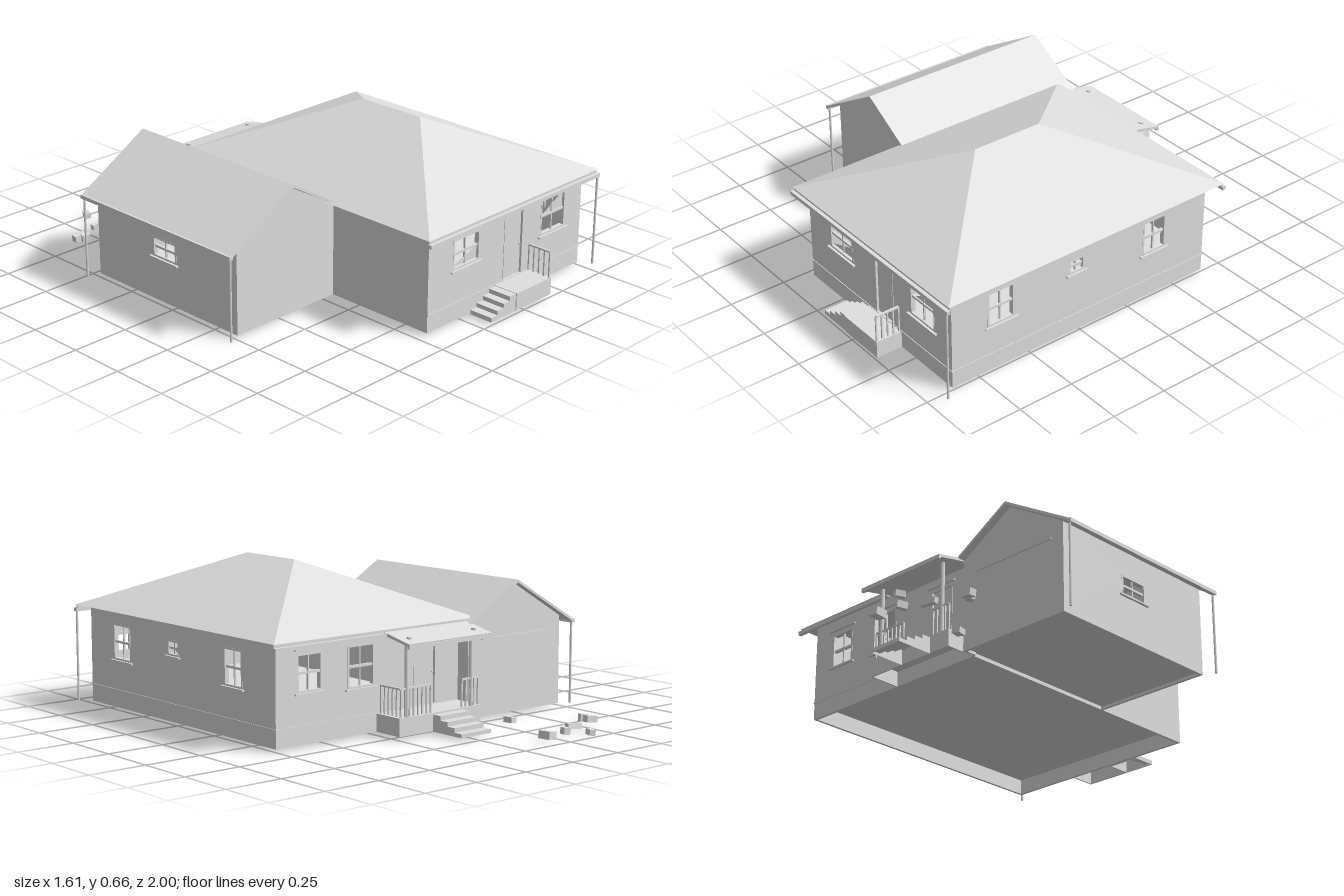
import * as THREE from 'three';

const gray = new THREE.MeshStandardMaterial({ color: 0xe0e0e0 });
gray.name = 'plain gray';
const sheet = new THREE.MeshStandardMaterial({ color: 0xe0e0e0, side: THREE.DoubleSide });
sheet.name = 'plain gray sheet';
const WALL = 0.012;

function add(parent, name, geo, mat = gray) {
  const m = new THREE.Mesh(geo, mat);
  m.name = name;
  parent.add(m);
  return m;
}

// Box given by its limits on each axis
function box(parent, name, x0, x1, y0, y1, z0, z1) {
  const m = add(parent, name, new THREE.BoxGeometry(x1 - x0, y1 - y0, z1 - z0));
  m.position.set((x0 + x1) / 2, (y0 + y1) / 2, (z0 + z1) / 2);
  return m;
}

function post(parent, name, x, z, y0, y1, r) {
  const m = add(parent, name, new THREE.CylinderGeometry(r, r, y1 - y0, 8));
  m.position.set(x, (y0 + y1) / 2, z);
}

const toShape = pts => new THREE.Shape(pts.map(p => new THREE.Vector2(...p)));
const rect = (u0, u1, y0, y1) => [[u0, y0], [u1, y0], [u1, y1], [u0, y1]];

// Thin wall whose outside faces local +z, with an opening for each [u0, u1, y0, y1]
function wall(parent, name, turn, x, z, outline, openings = []) {
  const g = new THREE.Group();
  g.name = name;
  g.rotation.y = turn;
  g.position.set(x, 0, z);
  const shape = toShape(outline);
  for (const o of openings) shape.holes.push(toShape(rect(...o).reverse()));
  const m = add(g, name + 'Panel', new THREE.ExtrudeGeometry(shape, { depth: WALL, bevelEnabled: false }));
  m.position.z = -WALL;
  parent.add(g);
  return g;
}

// Frame, cross bars, sill and lintel around an opening
function windowTrim(g, [a, b, c, d], lintel = true) {
  const t = 0.008, mx = (a + b) / 2, my = (c + d) / 2;
  for (const u of [a, b - t]) box(g, 'windowJamb', u, u + t, c, d, -0.02, 0.001);
  for (const y of [c, d - t]) box(g, 'windowRail', a, b, y, y + t, -0.02, 0.001);
  box(g, 'windowMullion', mx - 0.003, mx + 0.003, c, d, -0.014, -0.006);
  box(g, 'windowCrossBar', a, b, my - 0.005, my + 0.005, -0.016, -0.004);
  box(g, 'windowSill', a - 0.013, b + 0.013, c - 0.007, c, -0.01, 0.011);
  if (lintel) box(g, 'windowLintel', a - 0.015, b + 0.015, d + 0.012, d + 0.018, -0.002, 0.01);
}

// Broken pane left in a window
function shard(g, pts) {
  add(g, 'brokenPane', new THREE.ShapeGeometry(toShape(pts)), sheet).position.z = -0.01;
}

function doorTrim(g, [a, b, c, d]) {
  box(g, 'doorPanel', a + 0.006, b - 0.006, c, d - 0.006, -0.016, -0.008);
  for (const u of [a, b - 0.006]) box(g, 'doorJamb', u, u + 0.006, c, d, -0.02, 0.002);
  box(g, 'doorHead', a, b, d - 0.006, d, -0.02, 0.002);
  box(g, 'doorLintel', a - 0.015, b + 0.015, d + 0.012, d + 0.018, -0.002, 0.01);
  const knob = add(g, 'doorKnob', new THREE.SphereGeometry(0.005, 8, 6));
  knob.position.set(b - 0.014, c + 0.13, -0.004);
}

// Railing between two floor points
function railing(parent, x0, z0, x1, z1) {
  const g = new THREE.Group();
  g.name = 'railing';
  const len = Math.hypot(x1 - x0, z1 - z0), n = Math.max(2, Math.round(len / 0.024));
  g.position.set(x0, 0, z0);
  g.rotation.y = Math.atan2(-(z1 - z0), x1 - x0);
  box(g, 'handRail', 0, len, 0.196, 0.203, -0.005, 0.005);
  for (let i = 0; i <= n; i++) {
    const u = len * i / n;
    box(g, 'baluster', u - 0.003, u + 0.003, 0.085, 0.198, -0.003, 0.003);
  }
  parent.add(g);
}

// Open-bottomed flight rising along local +x from 0, width along local z
function steps(parent, name, run, width, heights) {
  const g = new THREE.Group();
  g.name = name;
  const t = 0.005, n = heights.length, tread = run / n;
  const outline = [[0, 0.008]];
  heights.forEach((h, i) => {
    const x = i * tread;
    outline.push([x, h], [x + tread, h]);
    box(g, 'tread', x, x + tread, h - t, h, 0, width);
    box(g, 'riser', x, x + t, i ? heights[i - 1] - t : 0.008, h, 0, width);
  });
  outline.push([run, 0.008]);
  for (const z of [0, width]) add(g, 'stepSide', new THREE.ShapeGeometry(toShape(outline)), sheet).position.z = z;
  parent.add(g);
  return g;
}

// Open-bottomed platform: top slab with thin skirts
function platform(parent, name, x0, x1, z0, z1, skirtZ) {
  const g = new THREE.Group();
  g.name = name;
  box(g, 'platformTop', x0, x1, 0.075, 0.085, z0, z1);
  for (const x of [x0, x1 - 0.006]) box(g, 'sideSkirt', x, x + 0.006, 0.01, 0.075, z0, z1);
  box(g, 'endSkirt', x0, x1, 0.01, 0.075, skirtZ, skirtZ + 0.006);
  parent.add(g);
}

// Four hip roof slopes from the eave rectangle to the ridge line
function hipRoof() {
  const y = 0.43, a = [-0.255, y, 0.925], b = [0.8, y, 0.925], c = [0.8, y, -0.455], d = [-0.255, y, -0.455];
  const f = [0.272, 0.662, 0.4], k = [0.272, 0.662, 0.08];
  const tris = [a, b, f, b, c, k, b, k, f, c, d, k, d, a, f, d, f, k];
  const geo = new THREE.BufferGeometry();
  geo.setAttribute('position', new THREE.Float32BufferAttribute(tris.flat(), 3));
  geo.computeVertexNormals();
  return geo;
}

export function createModel() {
  const model = new THREE.Group();
  model.name = 'house';
  const top = 0.447;

  // Main house walls
  const frontWindows = [[-0.06, 0.1, 0.23, 0.362], [0.485, 0.645, 0.21, 0.375]];
  const frontDoor = [0.252, 0.372, 0.088, 0.37];
  const front = wall(model, 'frontWall', 0, 0, 0.88, rect(-0.205, 0.75, 0.01, top), [...frontWindows, frontDoor]);
  frontWindows.forEach(w => windowTrim(front, w));
  shard(front, [[-0.06, 0.24], [0.1, 0.24], [0.1, 0.295]]);
  shard(front, [[0.485, 0.285], [0.645, 0.285], [0.645, 0.37]]);
  doorTrim(front, frontDoor);

  const sideWindows = [[-0.71, -0.58, 0.215, 0.37], [-0.312, -0.235, 0.285, 0.35], [0.07, 0.19, 0.215, 0.37]];
  const side = wall(model, 'leftWall', Math.PI / 2, 0.75, 0, rect(-0.88, 0.4, 0.01, top), sideWindows);
  sideWindows.forEach(w => windowTrim(side, w, false));
  shard(side, [[-0.312, 0.318], [-0.235, 0.295], [-0.235, 0.318]]);

  const backWindows = [[-0.645, -0.52, 0.215, 0.37], [-0.39, -0.25, 0.2, 0.375]];
  const backDoor = [-0.04, 0.08, 0.088, 0.37];
  const back = wall(model, 'backWall', Math.PI, 0, -0.4, rect(-0.75, 0.205, 0.01, top), [...backWindows, backDoor]);
  backWindows.forEach(w => windowTrim(back, w));
  doorTrim(back, backDoor);

  wall(model, 'rightWall', -Math.PI / 2, -0.205, 0, rect(-0.4, 0.88, 0.01, top));
  box(model, 'houseFloor', -0.2, 0.745, 0.077, 0.085, -0.395, 0.875);

  // Thin ledge above the foundation
  box(model, 'foundationLedge', -0.205, 0.753, 0.083, 0.088, 0.876, 0.883);
  box(model, 'foundationLedge', 0.746, 0.753, 0.083, 0.088, -0.403, 0.883);
  box(model, 'foundationLedge', 0.24, 0.753, 0.083, 0.088, -0.403, -0.396);

  // Main roof and gutters
  add(model, 'hipRoof', hipRoof(), sheet);
  box(model, 'frontGutter', -0.255, 0.8, 0.4, 0.416, 0.918, 0.936);
  box(model, 'frontFascia', -0.25, 0.797, 0.414, 0.43, 0.914, 0.92);
  box(model, 'backGutter', 0.24, 0.8, 0.4, 0.416, -0.466, -0.45);
  box(model, 'backFascia', -0.2, 0.797, 0.414, 0.43, -0.45, -0.444);

  // Garage walls with gables
  const gable = [[-0.74, 0.01], [-0.205, 0.01], [-0.205, 0.405], [-0.46, 0.558], [-0.74, 0.392]];
  wall(model, 'garageFront', 0, 0, 0.37, gable);
  const garageBack = wall(model, 'garageBack', Math.PI, 0, -0.46, gable.map(([u, y]) => [-u, y]).reverse());
  box(garageBack, 'garageTrim', 0.28, 0.68, 0.335, 0.341, -0.002, 0.006);
  const opening = [-0.12, 0.02, 0.2, 0.287];
  const garageSide = wall(model, 'garageSide', -Math.PI / 2, -0.74, 0, rect(-0.46, 0.37, 0.01, 0.392), [opening]);
  windowTrim(garageSide, opening, false);
  wall(model, 'garageInnerSide', Math.PI / 2, -0.205, 0, rect(0.4, 0.46, 0.01, 0.405));
  box(model, 'garageFloor', -0.735, -0.21, 0.022, 0.03, -0.455, 0.365);

  // Garage roof
  const profile = toShape([[-0.803, 0.37], [-0.803, 0.358], [-0.46, 0.56], [-0.19, 0.4], [-0.19, 0.412], [-0.46, 0.572]]);
  const garageRoof = add(model, 'garageRoof', new THREE.ExtrudeGeometry(profile, { depth: 0.89, bevelEnabled: false }));
  garageRoof.position.z = -0.49;
  box(model, 'garageGutter', -0.805, -0.787, 0.358, 0.374, -0.49, 0.4);

  // Downspouts
  for (const [x, z, h] of [[0.79, 0.93, 0.41], [-0.793, 0.39, 0.37], [-0.793, -0.48, 0.37]]) {
    post(model, 'downspout', x, z, 0.008, h, 0.005);
  }

  // Front landing with steps rising along x
  platform(model, 'frontLanding', 0.2, 0.42, 0.88, 0.998, 0.992);
  steps(model, 'frontSteps', 0.15, 0.108, [0.027, 0.045, 0.064, 0.083]).position.set(0.05, 0, 0.886);
  railing(model, 0.412, 0.992, 0.412, 0.886);

  // Back porch with steps rising towards the house
  platform(model, 'backPorch', -0.203, 0.24, -0.54, -0.4, -0.54);
  const backSteps = steps(model, 'backSteps', 0.166, 0.16, [0.024, 0.042, 0.06, 0.078]);
  backSteps.rotation.y = -Math.PI / 2;
  backSteps.position.set(0.06, 0, -0.706);
  for (const x of [-0.155, 0.195]) post(model, 'porchPost', x, -0.53, 0.085, 0.402, 0.009);
  railing(model, 0.225, -0.41, 0.225, -0.53);
  railing(model, 0.065, -0.53, 0.225, -0.53);
  railing(model, -0.195, -0.53, -0.105, -0.53);

  // Sloping porch roof
  const porchRoof = box(model, 'porchRoof', -0.205, 0.243, 0.397, 0.409, -0.6, -0.405);
  porchRoof.rotation.x = -0.2;
  box(model, 'porchGutter', -0.207, 0.245, 0.37, 0.386, -0.603, -0.59);
  for (const x of [-0.155, 0.195]) post(model, 'roofCap', x, -0.545, 0.39, 0.408, 0.011);

  // Loose stones behind the house: x, z, width, depth, turn
  const stones = [[-0.39, -0.977, 0.026, 0.04, -0.4], [-0.322, -0.903, 0.026, 0.042, -0.4],
    [-0.205, -0.918, 0.045, 0.055, 0.1], [-0.42, -0.855, 0.08, 0.02, 0], [-0.574, -0.803, 0.055, 0.03, -0.1],
    [-0.56, -0.777, 0.036, 0.024, -0.3], [-0.316, -0.596, 0.036, 0.04, 0.2]];
  stones.forEach(([x, z, w, d, turn], i) => {
    const h = 0.024 + 0.004 * (i % 3);
    const m = add(model, 'stone', new THREE.BoxGeometry(w, h, d));
    m.position.set(x, h / 2 + 0.004, z);
    m.rotation.set(0.1 * (i % 2), turn, 0.12);
  });

  return model;
}
